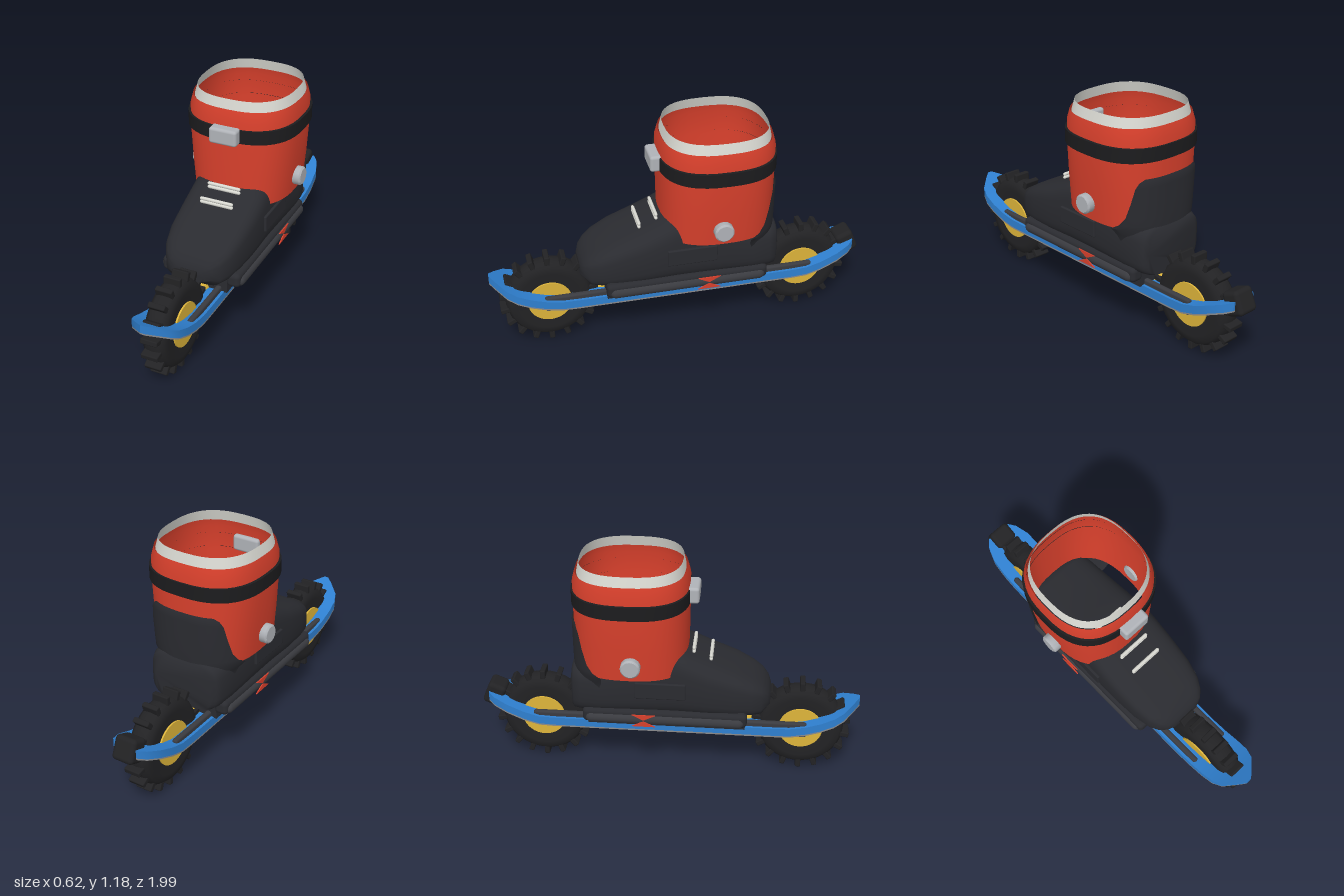
import * as THREE from 'three';
import { toCreasedNormals } from 'three/addons/utils/BufferGeometryUtils.js';
import { RoundedBoxGeometry } from 'three/addons/geometries/RoundedBoxGeometry.js';

const mat = (color, side = THREE.FrontSide) => new THREE.MeshStandardMaterial({ color, side });
const RED = mat(0xd8402c, THREE.DoubleSide), WHITE = mat(0xd9d9d2, THREE.DoubleSide);
const BLACK = mat(0x2a2b30), RUBBER = mat(0x222224), BAND = mat(0x1c1c1e, THREE.DoubleSide);
const GUARD = mat(0x2a2b30, THREE.DoubleSide), BLUE = mat(0x2f80d0), YELLOW = mat(0xddb43a);
const METAL = mat(0xb0b3b8), DARK = mat(0x3a3b40), UNDER = mat(0x8a8a8c);

// Skin between successive rings of points
function loft(rings, { closed = true, caps = true, crease = 0.7 } = {}) {
  const n = rings[0].length, pos = rings.flat(2), index = [];
  for (let i = 0; i < rings.length - 1; i++) {
    for (let j = 0; j < (closed ? n : n - 1); j++) {
      const k = (j + 1) % n, a = i * n + j, b = i * n + k, c = a + n, d = b + n;
      index.push(a, c, b, b, c, d);
    }
  }
  if (caps) {
    const last = (rings.length - 1) * n;
    for (let j = 1; j < n - 1; j++) index.push(0, j, j + 1, last, last + j + 1, last + j);
  }
  const g = new THREE.BufferGeometry();
  g.setAttribute('position', new THREE.Float32BufferAttribute(pos, 3));
  g.setIndex(index);
  return toCreasedNormals(g, crease);
}

// Point on a rounded-square curve
const squircle = (t, a, b, n) => {
  const f = (v) => Math.sign(v) * Math.abs(v) ** (2 / n);
  return [a * f(Math.cos(t)), b * f(Math.sin(t))];
};

// Horizontal ring of the cuff from angle t0 to t1
const CUFF_Z = -0.185;
function cuffRing(y, hx, hz, t0 = 0, t1 = Math.PI * 2, steps = 48, closed = true) {
  return Array.from({ length: closed ? steps : steps + 1 }, (_, i) => {
    const [x, z] = squircle(t0 + ((t1 - t0) * i) / steps, hx, hz, 2.6);
    return [x, y, CUFF_Z + z];
  });
}

export function createModel() {
  const root = new THREE.Group();
  const add = (name, geo, material, x = 0, y = 0, z = 0, parent = root) => {
    const m = new THREE.Mesh(geo, material);
    m.name = name;
    m.position.set(x, y, z);
    parent.add(m);
    return m;
  };

  // Cuff, rim and strap
  const open = { caps: false };
  const cuff = [[0.615, 0.262, 0.29], [0.78, 0.277, 0.293], [0.95, 0.288, 0.295], [1.08, 0.288, 0.295], [1.135, 0.275, 0.28]];
  add('cuff', loft(cuff.map((r) => cuffRing(...r)), open), RED);
  add('cuffRim', loft([cuffRing(1.125, 0.268, 0.272), cuffRing(1.182, 0.253, 0.26)], open), WHITE);
  add('strap', loft([[0.968, 0.288, 0.293], [0.97, 0.3, 0.302], [1.042, 0.3, 0.302], [1.044, 0.288, 0.293]]
    .map((r) => cuffRing(...r)), open), BAND);
  add('strapBuckle', new RoundedBoxGeometry(0.15, 0.086, 0.075, 3, 0.015), METAL, 0, 1.008, 0.122);

  // Boot shell: z, half width, top
  const shell = [[0.535, 0.08, 0.47], [0.52, 0.12, 0.5], [0.49, 0.15, 0.535], [0.44, 0.178, 0.565],
    [0.35, 0.198, 0.61], [0.22, 0.208, 0.66], [0.12, 0.21, 0.705], [0.06, 0.21, 0.735], [0, 0.21, 0.735],
    [-0.15, 0.21, 0.7], [-0.35, 0.21, 0.64], [-0.44, 0.205, 0.64], [-0.475, 0.19, 0.63], [-0.488, 0.165, 0.62]];
  add('bootShell', loft(shell.map(([z, hw, top]) => {
    const bottom = z > 0.5 ? 0.4 : 0.365;
    return Array.from({ length: 36 }, (_, i) => {
      const [x, y] = squircle((i / 36) * Math.PI * 2, hw, (top - bottom) / 2, 4);
      return [x, (top + bottom) / 2 + y, z];
    });
  }), { crease: 1 }), BLACK);

  // Heel guard wrapping the back of the cuff: y, half width, depth, half angle
  const guard = [[0.38, 0.212, 0.302, 1], [0.5, 0.214, 0.302, 1.1], [0.57, 0.235, 0.302, 1.2], [0.615, 0.272, 0.302, 1.22],
    [0.64, 0.275, 0.303, 1.05], [0.68, 0.278, 0.304, 0.92], [0.76, 0.285, 0.304, 0.8], [0.84, 0.291, 0.304, 0.7],
    [0.87, 0.292, 0.304, 0.62], [0.885, 0.288, 0.298, 0.5]];
  add('heelGuard', loft(guard.map(([y, hx, hz, d]) =>
    cuffRing(y, hx, hz, -Math.PI / 2 - d, -Math.PI / 2 + d, 24, false)), { closed: false, caps: false }), GUARD);

  // Lace bars
  const bar = new THREE.CapsuleGeometry(0.009, 0.165, 4, 10).rotateZ(Math.PI / 2);
  for (const [y, z] of [[0.664, 0.225], [0.682, 0.225], [0.704, 0.137], [0.724, 0.137], [0.745, -0.05]])
    add('laceBar', bar, WHITE, 0, y, z);

  // Side fittings, mirrored
  const tri = new THREE.Shape([new THREE.Vector2(-0.06, 0.03), new THREE.Vector2(0, 0), new THREE.Vector2(0.06, 0.03)]);
  const triGeo = new THREE.ExtrudeGeometry(tri, { depth: 0.006, bevelEnabled: false }).translate(0, 0, -0.003).rotateY(Math.PI / 2);
  for (const s of [-1, 1]) {
    const side = new THREE.Group();
    side.name = s > 0 ? 'leftFittings' : 'rightFittings';
    root.add(side);
    const pivot = new THREE.LatheGeometry([[0, -0.03], [0.045, -0.03], [0.05, -0.02], [0.05, 0.012], [0.042, 0.02], [0, 0.02]]
      .map((p) => new THREE.Vector2(...p)), 28);
    add('cuffPivot', toCreasedNormals(pivot.rotateZ(-s * Math.PI / 2), 0.6), METAL, s * 0.29, 0.705, -0.165, side);
    add('sidePad', new RoundedBoxGeometry(0.03, 0.09, 0.26, 2, 0.006), BLACK, s * 0.207, 0.535, -0.025, side);
    add('deckRail', new RoundedBoxGeometry(0.075, 0.08, 0.85, 3, 0.025), BLACK, s * 0.178, 0.37, -0.005, side);
    add('deckTube', new THREE.CapsuleGeometry(0.03, 0.76, 6, 14).rotateX(Math.PI / 2), DARK, s * 0.2, 0.36, -0.005, side);
    add('redMarkerTop', triGeo, RED, s * 0.231, 0.367, -0.11, side);
    add('redMarkerBottom', triGeo, RED, s * 0.231, 0.36, -0.11, side).rotation.x = Math.PI;
    add('frameRail', new RoundedBoxGeometry(0.03, 0.085, 1.44, 2, 0.012), DARK, s * 0.1, 0.275, 0.01, side);
  }
  add('deck', new THREE.BoxGeometry(0.29, 0.12, 0.82), BLACK, 0, 0.345, 0);

  // Board with upturned ends: z, half width, middle height
  const board = [[1, 0.012, 0.412], [0.97, 0.05, 0.395], [0.92, 0.105, 0.365], [0.87, 0.125, 0.338], [0.8, 0.13, 0.308],
    [0.72, 0.13, 0.282], [0.64, 0.13, 0.268], [0.55, 0.13, 0.266], [-0.6, 0.13, 0.266], [-0.68, 0.13, 0.27],
    [-0.76, 0.13, 0.293], [-0.85, 0.125, 0.33], [-0.92, 0.1, 0.355], [-0.955, 0.07, 0.368]];
  const slab = (low, high) => loft(board.map(([z, w, y]) =>
    [[w, y + low, z], [w, y + high, z], [-w, y + high, z], [-w, y + low, z]]), { crease: 0.6 });
  add('board', slab(-0.02, 0.024), BLUE);
  add('boardUnderside', slab(-0.028, -0.0195), UNDER);

  // Big wheels with lugs
  const tyreProfile = [[0.1, -0.055], [0.17, -0.062], [0.205, -0.056], [0.222, -0.035], [0.227, 0],
    [0.222, 0.035], [0.205, 0.056], [0.17, 0.062], [0.1, 0.055]].map((p) => new THREE.Vector2(...p));
  const tyre = new THREE.LatheGeometry(tyreProfile, 48).rotateZ(Math.PI / 2);
  const hub = new THREE.CylinderGeometry(0.115, 0.115, 0.13, 36).rotateZ(Math.PI / 2);
  const lug = new RoundedBoxGeometry(0.09, 0.05, 0.028, 2, 0.006);
  const axle = new THREE.CylinderGeometry(0.022, 0.022, 0.2, 16).rotateZ(Math.PI / 2);
  for (const [name, z] of [['frontWheel', 0.7], ['rearWheel', -0.665]]) {
    const wheel = new THREE.Group();
    wheel.name = name;
    wheel.position.set(0, 0.26, z);
    root.add(wheel);
    add('tyre', tyre, RUBBER, 0, 0, 0, wheel);
    add('hub', hub, YELLOW, 0, 0, 0, wheel);
    add('axle', axle, METAL, 0, 0, 0, wheel);
    for (let i = 0; i < 18; i++) {
      const a = (i / 18) * Math.PI * 2;
      add('lug', lug, RUBBER, 0, Math.cos(a) * 0.235, Math.sin(a) * 0.235, wheel).rotation.x = a;
    }
  }

  // Small rollers under the board
  for (const z of [0.4, 0.235, -0.23, -0.4])
    add('roller', new THREE.SphereGeometry(0.075, 20, 14).scale(0.65, 0.9, 1), YELLOW, 0, 0.268, z);

  // Rear brake block
  add('brake', new RoundedBoxGeometry(0.12, 0.125, 0.1, 3, 0.022), RUBBER, 0, 0.365, -0.93).rotation.x = 0.4;
  return root;
}
